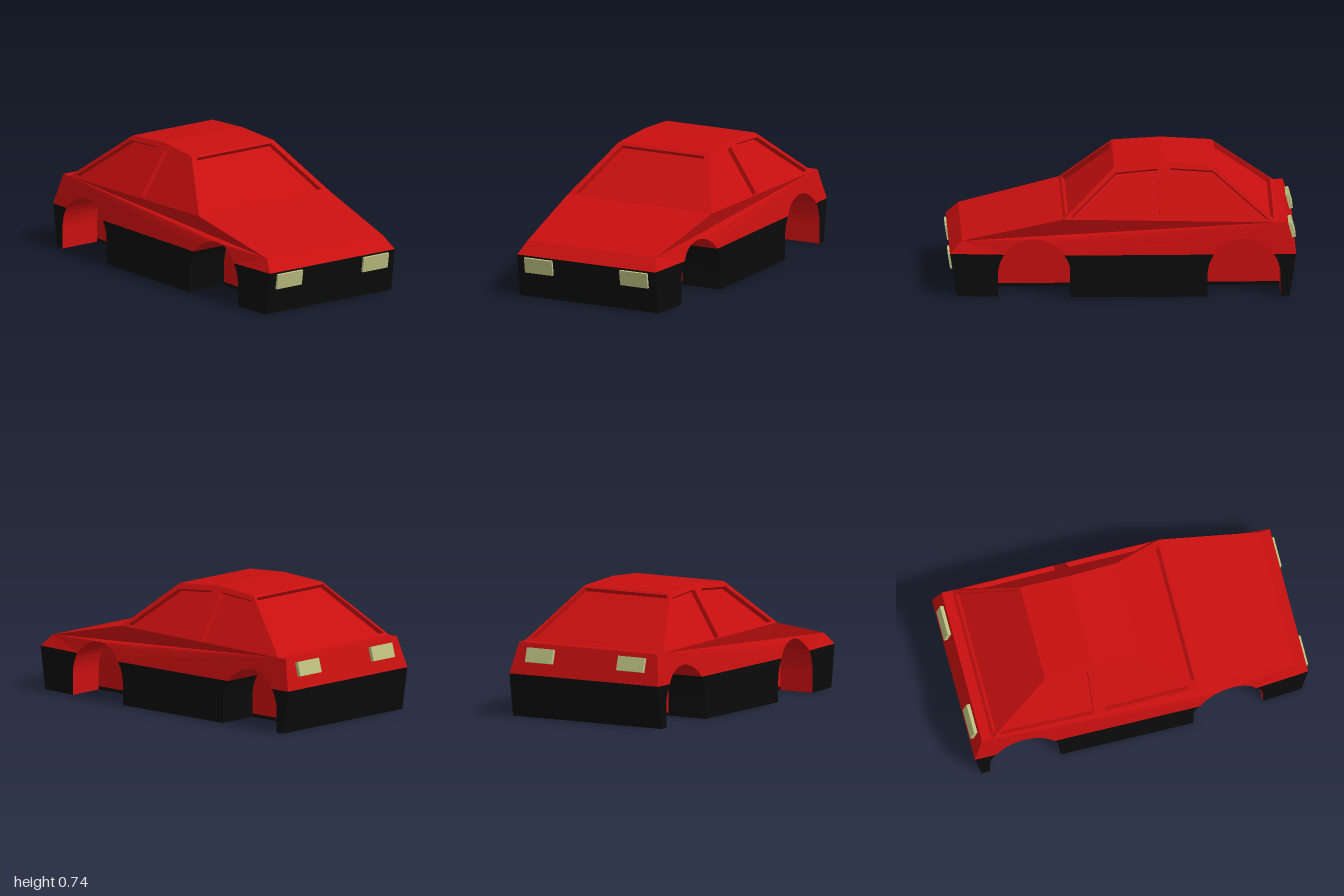
import * as THREE from 'three';

const material = (color) => new THREE.MeshStandardMaterial({ color, flatShading: true, side: THREE.DoubleSide });

export function createModel() {
  const car = new THREE.Group();
  const red = material(0xc80f0f), black = material(0x0b0b0b), lamp = material(0xbcc080);
  const lerp = THREE.MathUtils.lerp, clamp = THREE.MathUtils.clamp;

  const add = (name, geometry, mat) => {
    geometry.computeVertexNormals();
    const mesh = new THREE.Mesh(geometry, mat);
    mesh.name = name;
    car.add(mesh);
    return mesh;
  };

  // Strip of quads between two rows of 3D points
  const strip = (name, mat, a, b) => {
    const index = [];
    for (let i = 0; i < a.length - 1; i++) {
      const j = i + a.length;
      index.push(i, i + 1, j, i + 1, j + 1, j);
    }
    const geo = new THREE.BufferGeometry();
    geo.setAttribute('position', new THREE.Float32BufferAttribute([...a, ...b].flat(), 3));
    geo.setIndex(index);
    return add(name, geo, mat);
  };

  // Flat outline bent into place by map(u, v, depth); holes become recessed windows
  const toVec = (pts) => pts.map(([u, v]) => new THREE.Vector2(u, v));
  const panel = (name, mat, outline, map, holes = [], depth = 0) => {
    const fill = (label, pts, cuts, d) => {
      const shape = new THREE.Shape(toVec(pts));
      cuts.forEach((c) => shape.holes.push(new THREE.Path(toVec(c))));
      const geo = new THREE.ShapeGeometry(shape), p = geo.attributes.position;
      for (let i = 0; i < p.count; i++) p.setXYZ(i, ...map(p.getX(i), p.getY(i), d));
      add(label, geo, mat);
    };
    fill(name, outline, holes, 0);
    holes.forEach((h) => {
      const loop = [...h, h[0]];
      strip(name + 'WindowReveal', mat, loop.map(([u, v]) => map(u, v, 0)), loop.map(([u, v]) => map(u, v, depth)));
      fill(name + 'Window', h, [], depth);
    });
  };

  // Body half-width at a given z and y: sill, door flank, sloping cabin side
  const BELT = 0.25;
  const sillX = (z) => 0.505 - 0.055 * clamp((z - 0.33) / 0.66, 0, 1);
  const shoulderY = (z) => (z > 0.34 ? 0.455 - 0.2328 * (z - 0.34) : Math.max(0.43, 0.455 - 0.0203 * (0.34 - z)));
  const shoulderX = (z) => (z > 0.34 ? 0.47 - 0.0862 * (z - 0.34) : 0.47);
  const sideX = (z, y) => {
    if (y <= BELT) return sillX(z);
    const top = shoulderY(z);
    if (y <= top + 1e-4) return lerp(sillX(z), shoulderX(z), (y - BELT) / (top - BELT));
    return shoulderX(z) - 0.64 * (y - top);
  };

  // Wheel arch points, from the front foot over the top to the rear foot
  const R = 0.21, CY = 0.13, WELL = 0.255, wheels = [0.505, -0.7];
  const cut = Math.asin((BELT - CY) / R);
  const arc = (cz, from, to, n) => Array.from({ length: n + 1 }, (_, i) => {
    const a = lerp(from, to, i / n);
    return [cz + R * Math.cos(a), CY + R * Math.sin(a)];
  });
  const lowArc = (cz) => [[cz + R, 0], ...arc(cz, 0, cut, 4)];
  const topArc = (cz) => arc(cz, cut, Math.PI - cut, 10);
  const rearArc = (cz) => [...arc(cz, Math.PI - cut, Math.PI, 4), [cz - R, 0]];
  const [F, B] = wheels;

  // Sides
  for (const s of [1, -1]) {
    const side = s > 0 ? 'left' : 'right';
    const onSide = (z, y, d) => [s * (sideX(z, y) - 0.842 * d), y - 0.539 * d, z];

    panel(side + 'Cabin', red,
      [[0.34, 0.455], [0.04, 0.72], [-0.24, 0.74], [-0.53, 0.72], [-0.89, 0.43]], onSide,
      [[[0.29, 0.468], [0.03, 0.69], [-0.21, 0.708], [-0.215, 0.452]],
        [[-0.28, 0.71], [-0.525, 0.695], [-0.84, 0.447], [-0.285, 0.447]]], 0.028);
    panel(side + 'Flank', red,
      [[0.99, BELT], ...topArc(F), ...topArc(B), [-1, BELT], [-0.95, 0.43], [-0.89, 0.43], [0.34, 0.455], [0.92, 0.32]], onSide);

    // Lower cladding: nose corner, sill and tail corner
    panel(side + 'NoseCladding', black, [[0.99, BELT], [0.95, 0], ...lowArc(F)], onSide);
    panel(side + 'Sill', black, [...rearArc(F), ...lowArc(B)], onSide);
    panel(side + 'TailCladding', black, [...rearArc(B), [-0.96, 0], [-1, BELT]], onSide);

    // Wheel wells
    for (const cz of wheels) {
      const liner = (mat, pts) => strip(side + 'WheelWellLiner', mat,
        pts.map(([z, y]) => [s * WELL, y, z]), pts.map(([z, y]) => [s * sideX(z, y), y, z]));
      liner(cz > 0 ? red : black, lowArc(cz));
      liner(red, topArc(cz));
      liner(cz > 0 ? black : red, rearArc(cz));
      const atWell = (z, y) => [s * WELL, y, z];
      panel(side + 'WheelWellWall', red, [[cz + R, 0.02], ...arc(cz, 0, Math.PI, 18), [cz - R, 0.02]], atWell);
      panel(side + 'WheelWellBase', black, [[cz + R, 0], [cz + R, 0.02], [cz - R, 0.02], [cz - R, 0]], atWell);
    }
  }

  // Panels spanning the width, each between two [z, y] stations
  const row = ([z, y]) => [[-sideX(z, y), y, z], [sideX(z, y), y, z]];
  const across = (name, mat, a, b) => strip(name, mat, row(a), row(b));
  across('frontApron', black, [0.95, 0], [0.99, BELT]);
  across('noseEdge', red, [0.99, BELT], [0.92, 0.32]);
  across('hood', red, [0.92, 0.32], [0.34, 0.455]);
  across('roofFront', red, [0.04, 0.72], [-0.24, 0.74]);
  across('roofRear', red, [-0.24, 0.74], [-0.53, 0.72]);
  across('rearDeck', red, [-0.89, 0.43], [-0.95, 0.43]);
  across('tailPanel', red, [-0.95, 0.43], [-1, BELT]);
  across('rearApron', black, [-1, BELT], [-0.96, 0]);

  // Windshield and rear window, sunk into their sloping frames
  const trapezoid = (x0, y0, x1, y1) => [[-x0, y0], [x0, y0], [x1, y1], [-x1, y1]];
  panel('windshield', red, trapezoid(0.47, 0.455, sideX(0.04, 0.72), 0.72),
    (x, y, d) => [x, y - 0.75 * d, 0.04 + (0.72 - y) * 1.132 - 0.66 * d],
    [trapezoid(0.425, 0.468, 0.268, 0.708)], 0.028);
  panel('rearScreen', red, trapezoid(0.47, 0.43, sideX(-0.53, 0.72), 0.72),
    (x, y, d) => [x, y - 0.78 * d, -0.53 - (0.72 - y) * 1.241 + 0.63 * d],
    [trapezoid(0.442, 0.443, 0.28, 0.708)], 0.028);

  // Floor with notches for the wheel wells
  const half = [[0.95, sillX(0.95)]];
  wheels.forEach((cz) => {
    const a = cz + R, b = cz - R;
    half.push([a, sillX(a)], [a, WELL], [b, WELL], [b, sillX(b)]);
  });
  half.push([-0.96, sillX(-0.96)]);
  panel('floor', black, [...half, ...half.map(([z, x]) => [z, -x]).reverse()], (z, x) => [x, 0, z]);

  // Lamps
  for (const s of [1, -1]) {
    const head = add('headlight', new THREE.BoxGeometry(0.18, 0.09, 0.03), lamp);
    head.position.set(s * 0.31, 0.195, 0.98);
    head.rotation.x = 0.16;
    const tail = add('tailLight', new THREE.BoxGeometry(0.18, 0.085, 0.03), lamp);
    tail.position.set(s * 0.31, 0.362, -0.975);
    tail.rotation.x = 0.27;
  }
  return car;
}
